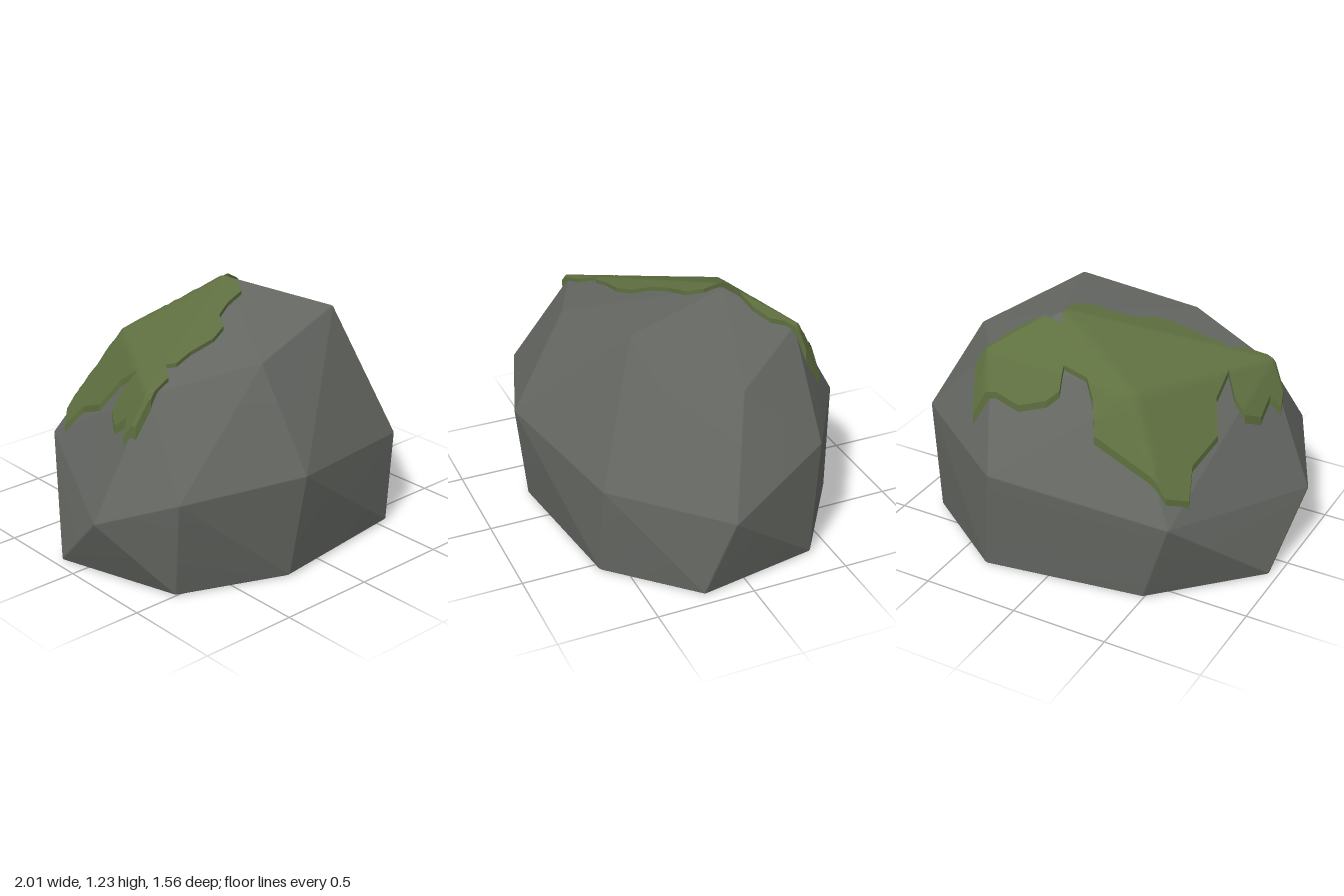
import * as THREE from 'three';
import { ConvexGeometry } from 'three/addons/geometries/ConvexGeometry.js';
import { mergeVertices } from 'three/addons/utils/BufferGeometryUtils.js';

// Corners of the boulder: base ring, widest ring, upper ring and peak
const CORNERS = [
  [0.83, 0, -0.39], [0.94, 0, 0.23], [0.56, 0, 0.62], [-0.23, 0, 0.72],
  [-0.77, 0, 0.5], [-0.96, 0, -0.14], [-0.5, 0, -0.61], [0.33, 0, -0.74],
  [0.84, 0.63, -0.42], [1.01, 0.41, 0.1], [0.61, 0.48, 0.61], [-0.19, 0.54, 0.785],
  [-0.81, 0.51, 0.58], [-1.01, 0.34, 0.2], [-0.64, 0.44, -0.63], [0.27, 0.56, -0.785],
  [0.38, 1.16, 0.37], [0.75, 0.96, -0.05], [0.43, 1.06, -0.47], [-0.22, 1.04, 0.5],
  [-0.73, 0.95, 0.28], [-0.33, 0.98, -0.41], [0.19, 1.215, -0.2],
];

// Ragged outline of the moss, seen from above as x, z
const MOSS_OUTLINE = [
  [-0.67, -0.48], [-0.59, -0.57], [-0.5, -0.56], [-0.2, -0.56], [-0.15, -0.48], [-0.09, -0.43],
  [0.04, -0.42], [0.02, -0.5], [0.07, -0.54], [0.2, -0.585], [0.33, -0.58], [0.45, -0.61],
  [0.5, -0.5], [0.42, -0.42], [0.4, -0.35], [0.33, -0.29], [0.25, -0.26], [0.17, -0.26],
  [0.15, -0.28], [0.17, -0.1], [0.12, -0.02], [0, 0.01], [-0.1, 0.06], [-0.15, 0.15],
  [-0.25, 0.19], [-0.4, 0.19], [-0.5, 0.21], [-0.54, 0.18], [-0.6, 0.27], [-0.74, 0.31],
  [-0.81, 0.28], [-0.83, 0.21], [-0.78, 0.18], [-0.78, 0.08], [-0.73, 0], [-0.67, 0],
  [-0.61, 0.05], [-0.61, -0.08], [-0.67, -0.18], [-0.63, -0.37],
];
const BEVEL = 0.014;
const MOSS_THICKNESS = 0.02;
const SPLITS = 4;

function trianglesOf(geometry) {
  const p = geometry.attributes.position;
  const list = [];
  for (let i = 0; i < p.count; i += 3) {
    list.push([0, 1, 2].map((k) => new THREE.Vector3().fromBufferAttribute(p, i + k)));
  }
  return list;
}

function smoothGeometry(points) {
  const geometry = mergeVertices(new THREE.BufferGeometry().setFromPoints(points), 1e-4);
  geometry.computeVertexNormals();
  return geometry;
}

// Narrow bevels: push every face of a slightly shrunken hull outwards, then wrap again
function bevelledRock(faces) {
  const centre = new THREE.Vector3(0, 0.5, 0);
  const points = [];
  for (const [a, b, c] of faces) {
    const normal = new THREE.Triangle(a, b, c).getNormal(new THREE.Vector3());
    for (const corner of [a, b, c]) {
      const inner = centre.clone().sub(corner).setLength(BEVEL * 1.3).add(corner);
      if (corner.y < 0.001) inner.y = BEVEL;
      points.push(inner.addScaledVector(normal, BEVEL));
    }
  }
  return smoothGeometry(trianglesOf(new ConvexGeometry(points)).flat());
}

export function createModel() {
  const rockMaterial = new THREE.MeshStandardMaterial({ color: 0x646762 });
  rockMaterial.name = 'grey stone';
  const mossMaterial = new THREE.MeshStandardMaterial({ color: 0x5f7040, side: THREE.DoubleSide });
  mossMaterial.name = 'green moss';

  const group = new THREE.Group();
  group.name = 'mossyBoulder';
  const add = (name, geometry, material) => {
    const mesh = new THREE.Mesh(geometry, material);
    mesh.name = name;
    group.add(mesh);
  };

  // Boulder
  const faces = trianglesOf(new ConvexGeometry(CORNERS.map((c) => new THREE.Vector3(...c))));
  add('boulder', bevelledRock(faces), rockMaterial);

  // Height of the stone surface, optionally lifted along its normal
  const planes = faces
    .map(([a, b, c]) => new THREE.Plane().setFromCoplanarPoints(a, b, c))
    .filter((plane) => plane.normal.y > 0.05);
  const surface = (x, z, lift) => Math.min(...planes.map(
    ({ normal: n, constant }) => (lift - constant - n.x * x - n.z * z) / n.y));
  const drape = (p, lift) => new THREE.Vector3(p.x, surface(p.x, p.z, lift), p.z);

  // Moss top: fill the outline, split it finely and drape it over the stone
  const shape = new THREE.Shape(MOSS_OUTLINE.map(([x, z]) => new THREE.Vector2(x, -z)));
  const flat = new THREE.ShapeGeometry(shape).rotateX(-Math.PI / 2).toNonIndexed();
  let pieces = trianglesOf(flat);
  for (let s = 0; s < SPLITS; s++) {
    pieces = pieces.flatMap(([a, b, c]) => {
      const [ab, bc, ca] = [[a, b], [b, c], [c, a]].map(([p, q]) => p.clone().lerp(q, 0.5));
      return [[a, ab, ca], [ab, b, bc], [ca, bc, c], [ab, bc, ca]];
    });
  }
  add('mossTop', smoothGeometry(pieces.flat().map((p) => drape(p, MOSS_THICKNESS))), mossMaterial);

  // Moss rim: a thin wall down to the stone along the outline
  const rim = [];
  const steps = 2 ** SPLITS;
  MOSS_OUTLINE.forEach(([x, z], i) => {
    const [x2, z2] = MOSS_OUTLINE[(i + 1) % MOSS_OUTLINE.length];
    const start = new THREE.Vector3(x, 0, z);
    const end = new THREE.Vector3(x2, 0, z2);
    for (let s = 0; s < steps; s++) {
      const p = start.clone().lerp(end, s / steps);
      const q = start.clone().lerp(end, (s + 1) / steps);
      const [pt, qt] = [drape(p, MOSS_THICKNESS), drape(q, MOSS_THICKNESS)];
      const [pb, qb] = [drape(p, -0.01), drape(q, -0.01)];
      rim.push(pt, qt, pb, qt, qb, pb);
    }
  });
  const rimGeometry = new THREE.BufferGeometry().setFromPoints(rim);
  rimGeometry.computeVertexNormals();
  add('mossRim', rimGeometry, mossMaterial);

  return group;
}
